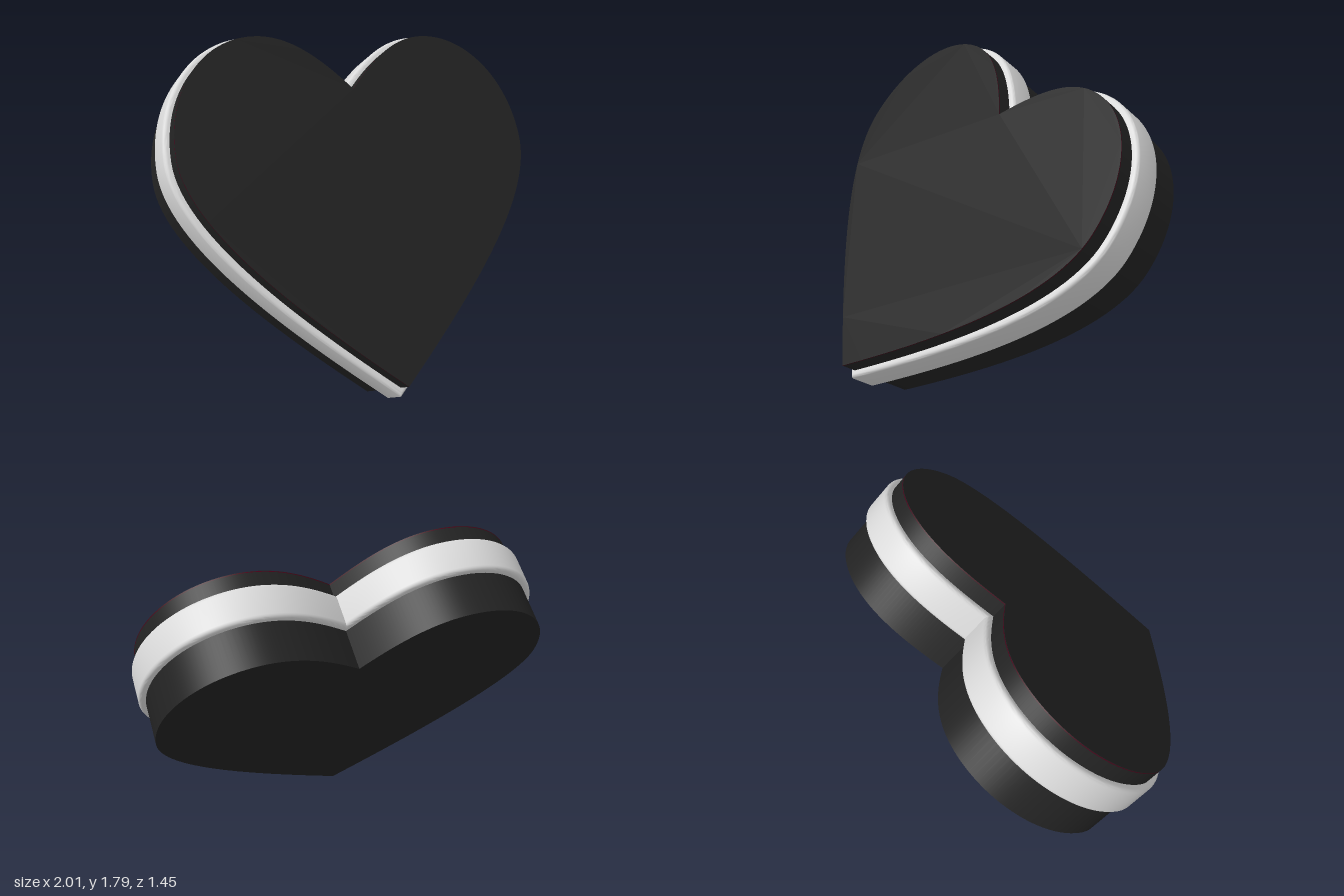
import * as THREE from 'three';
import { toCreasedNormals } from 'three/addons/utils/BufferGeometryUtils.js';

// Upright heart outline: right half curves, then the mirrored left half
function heartShape() {
  const s = new THREE.Shape();
  s.moveTo(0, -0.94);
  s.bezierCurveTo(0.5, -0.51, 0.975, -0.06, 0.975, 0.28);
  s.bezierCurveTo(0.975, 0.62, 0.75, 0.87, 0.48, 0.87);
  s.bezierCurveTo(0.28, 0.87, 0.13, 0.72, 0, 0.583);
  s.bezierCurveTo(-0.13, 0.72, -0.28, 0.87, -0.48, 0.87);
  s.bezierCurveTo(-0.75, 0.87, -0.975, 0.62, -0.975, 0.28);
  s.bezierCurveTo(-0.975, -0.06, -0.5, -0.51, 0, -0.94);
  return s;
}

export function createModel() {
  const mat = (name, color) => {
    const m = new THREE.MeshStandardMaterial({ color });
    m.name = name;
    return m;
  };
  const black = mat('black', 0x222222);
  const silver = mat('silver', 0xdadada);
  const darkRed = mat('darkRed', 0x4a0018);

  const heart = new THREE.Group();
  heart.name = 'heart';

  // One heart-shaped layer spanning z0..z1, optionally grown and rounded
  const layer = (name, z0, z1, material, round = 0, grow = 0) => {
    const geo = new THREE.ExtrudeGeometry(heartShape(), {
      depth: z1 - z0 - 2 * round,
      curveSegments: 28,
      bevelEnabled: round > 0,
      bevelThickness: round,
      bevelSize: round,
      bevelOffset: grow - round,
      bevelSegments: 4,
    });
    geo.translate(0, 0, z0 + round);
    const mesh = new THREE.Mesh(toCreasedNormals(geo, 0.6), material);
    mesh.name = name;
    heart.add(mesh);
  };

  layer('body', -0.233, 0.227, black);
  layer('redEdge', 0.227, 0.231, darkRed);
  layer('frontFace', 0.231, 0.233, black);
  layer('silverBand', -0.03, 0.145, silver, 0.02, 0.033);

  // Turn the heart slightly in its plane, then lean it back
  heart.position.x = -0.041;
  const turn = new THREE.Group();
  turn.name = 'turn';
  turn.rotation.z = THREE.MathUtils.degToRad(-8);
  turn.add(heart);

  const lean = new THREE.Group();
  lean.name = 'lean';
  lean.rotation.x = THREE.MathUtils.degToRad(-34.9);
  lean.position.y = 0.895;
  lean.add(turn);

  const model = new THREE.Group();
  model.name = 'heartBox';
  model.add(lean);
  return model;
}
